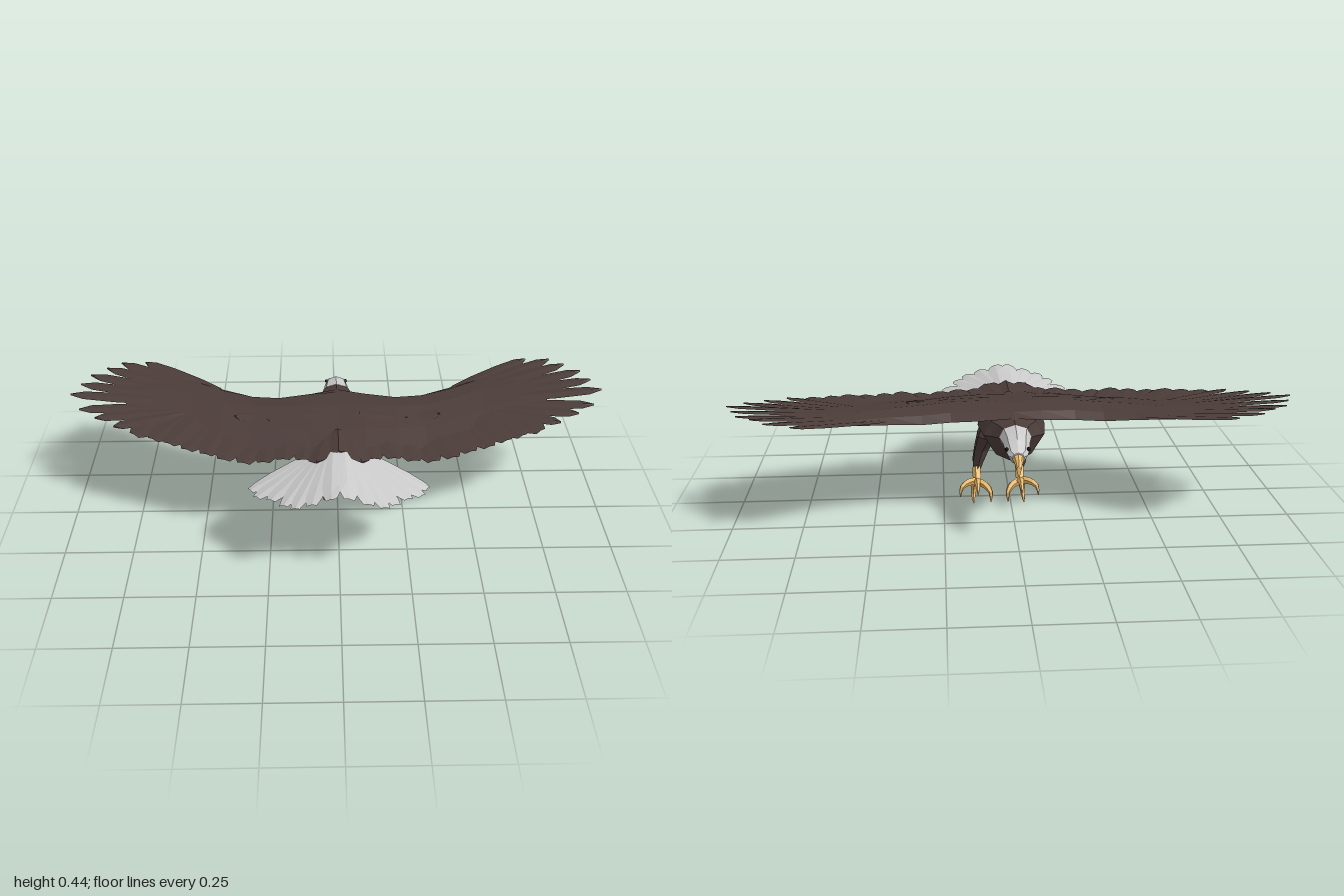
import * as THREE from 'three';

const V = (x, y, z) => new THREE.Vector3(x, y, z);
const paint = (color) =>
  new THREE.MeshStandardMaterial({ color, flatShading: true, side: THREE.DoubleSide });
const BROWN = paint(0x4b3c39), GREY = paint(0xcccccc), GOLD = paint(0xe6b566), BLACK = paint(0x111111);

function add(parent, name, geometry, material) {
  const mesh = new THREE.Mesh(geometry, material);
  mesh.name = name;
  parent.add(mesh);
  return mesh;
}

// Skin between closed rings of points, capped at both ends
function loft(rings) {
  const n = rings[0].length, pos = [], idx = [];
  rings.forEach((r) => r.forEach((p) => pos.push(p.x, p.y, p.z)));
  for (let i = 0; i < rings.length - 1; i++) {
    for (let j = 0; j < n; j++) {
      const k = (j + 1) % n, a = i * n + j, b = i * n + k;
      idx.push(a, b, b + n, a, b + n, a + n);
    }
  }
  const last = (rings.length - 1) * n;
  for (let j = 1; j < n - 1; j++) idx.push(0, j + 1, j, last, last + j, last + j + 1);
  return build(pos, idx);
}

function build(pos, idx) {
  const g = new THREE.BufferGeometry();
  g.setAttribute('position', new THREE.Float32BufferAttribute(pos, 3));
  g.setIndex(idx);
  g.computeVertexNormals();
  return g;
}

// Eight-sided rings along z from rows of [z, top, bottom, half width]
function hull(rows) {
  return loft(rows.map(([z, top, bottom, w]) => {
    const mid = bottom + (top - bottom) * 0.6;
    return Array.from({ length: 8 }, (_, j) => {
      const a = (j / 8) * Math.PI * 2, s = Math.sin(a);
      const narrow = s < 0 ? 1 + 0.25 * s : 1;
      return V(Math.cos(a) * w * narrow, mid + s * (s > 0 ? top - mid : mid - bottom), z);
    });
  }));
}

// Leaf-shaped blade with a raised quill, draped over a height function
function feather(base, tip, width, height, lift = 0, blunt = 0.05) {
  const [bx, bz] = base, dx = tip[0] - bx, dz = tip[1] - bz, len = Math.hypot(dx, dz);
  const px = -dz / len, pz = dx / len, pos = [], idx = [];
  [[0, 0.5], [0.3, 0.9], [0.65, 1], [0.9, 0.8], [1, blunt]].forEach(([t, k], i) => {
    for (let side = -1; side <= 1; side++) {
      const o = side * k * width / 2, x = bx + dx * t + px * o, z = bz + dz * t + pz * o;
      pos.push(x, height(x, z) + lift + (side === 0 ? 0.004 : 0), z);
      if (i < 4 && side < 1) {
        const a = i * 3 + side + 1;
        idx.push(a, a + 3, a + 4, a, a + 4, a + 1);
      }
    }
  });
  return build(pos, idx);
}

// Tube that tapers toward its end
function claw(points, radius, end = 0.1) {
  const curve = new THREE.CatmullRomCurve3(points), segs = 6, sides = 5;
  const g = new THREE.TubeGeometry(curve, segs, radius, sides, false);
  const p = g.attributes.position, v = V(0, 0, 0);
  for (let i = 0; i < p.count; i++) {
    const t = Math.floor(i / (sides + 1)) / segs;
    v.fromBufferAttribute(p, i).lerp(curve.getPointAt(t), (1 - end) * t * t);
    p.setXYZ(i, v.x, v.y, v.z);
  }
  return g;
}

// Wing sags to mid arm, then rises toward the tip and the leading edge
const wingHeight = (x, z) => {
  const a = Math.abs(x), base = a < 0.3 ? 0.385 - 0.07 * a : 0.364 + 0.064 * (a - 0.3);
  return base - (0.05 + 0.05 * Math.min(1, a)) * z;
};
const tailHeight = (x) => 0.392 - 0.28 * Math.abs(x);

function makeWing(s) {
  const wing = new THREE.Group();
  wing.name = s > 0 ? 'leftWing' : 'rightWing';
  // Arm: [x, leading z, trailing z, thickness]
  const arm = [[0, -0.25, 0.16, 0.03], [0.1, -0.235, 0.15, 0.055], [0.22, -0.215, 0.14, 0.06],
    [0.32, -0.232, 0.12, 0.055], [0.43, -0.265, 0.08, 0.042], [0.55, -0.315, 0, 0.028],
    [0.68, -0.32, -0.06, 0.018], [0.79, -0.26, -0.12, 0.006]];
  add(wing, 'wingArm', loft(arm.map(([x, lead, trail, t]) => {
    const at = (f, up) => {
      const z = lead + (trail - lead) * f;
      return V(s * x, wingHeight(x, z) + up * t, z);
    };
    const ring = [at(0.1, 0.25), at(0.35, 0.55), at(0.7, 0.35), at(1, 0), at(0.6, -0.2), at(0.2, -0.5), at(0, -0.2)];
    return s > 0 ? ring : ring.reverse();
  })), BROWN);

  // Long outer flight feathers fanned from the wrist
  const primaries = [[0.75, -0.41], [0.84, -0.392], [0.89, -0.347], [0.945, -0.3], [0.972, -0.235],
    [1, -0.165], [0.955, -0.08], [0.89, -0.03], [0.815, 0.02]];
  primaries.forEach(([x, z], i) => {
    const base = [s * (0.45 + 0.012 * i), -0.25 + 0.02 * i];
    add(wing, 'primaryFeather', feather(base, [s * x, z], 0.06, wingHeight, 0.002 * (i % 3), 0.15), BROWN);
  });
  // Shorter trailing feathers
  const secondaries = [[0.735, 0.06], [0.665, 0.085], [0.605, 0.11], [0.54, 0.135], [0.47, 0.16],
    [0.405, 0.19], [0.335, 0.2], [0.265, 0.2], [0.195, 0.195], [0.125, 0.2], [0.065, 0.18]];
  secondaries.forEach(([x, z], i) => {
    const base = [s * (x * 0.82 - 0.01), -0.12];
    add(wing, 'secondaryFeather', feather(base, [s * x, z], 0.1, wingHeight, 0.002 * (i % 3), 0.45), BROWN);
  });
  // Overlapping feathers behind the shoulder
  [[0.2, -0.03], [0.32, -0.05]].forEach(([x, z]) =>
    add(wing, 'covertFeather', feather([s * (x - 0.12), z - 0.02], [s * (x + 0.06), z], 0.07, wingHeight, 0.024), BROWN));
  return wing;
}

function makeTail() {
  const tail = new THREE.Group();
  tail.name = 'tail';
  // Central fan, then a lower side fan: [tip x, tip z, width, drop]
  const blades = [[0.03, 0.467, 0.07, 0], [0.095, 0.47, 0.07, 0.002], [0.15, 0.465, 0.065, 0.004], [0.19, 0.43, 0.065, 0.006],
    [0.235, 0.375, 0.08, 0.009], [0.285, 0.335, 0.08, 0.011], [0.31, 0.28, 0.075, 0.013]];
  for (const s of [1, -1]) {
    blades.forEach(([x, z, width, drop], i) => {
      const base = [s * (0.02 + 0.008 * i), 0.14];
      add(tail, 'tailFeather', feather(base, [s * x, z], width, tailHeight, -drop, 0.5), GREY);
    });
  }
  return tail;
}

function makeLeg(s) {
  const leg = new THREE.Group();
  leg.name = s > 0 ? 'leftLeg' : 'rightLeg';
  const x0 = s > 0 ? 0.125 : -0.035;
  // Feathered thigh: [y, x, z, half width, half depth]
  const thigh = [[0.3, s * 0.065, -0.025, 0.045, 0.065], [0.262, s > 0 ? 0.085 : -0.058, -0.025, 0.04, 0.075],
    [0.2, s > 0 ? 0.105 : -0.038, -0.002, 0.03, 0.055], [0.148, x0 - 0.005, -0.002, 0.022, 0.054],
    [0.12, x0, -0.015, 0.014, 0.044]];
  add(leg, 'thigh', loft(thigh.map(([y, x, z, w, d]) =>
    Array.from({ length: 6 }, (_, j) => {
      const a = (j / 6 + 0.25) * Math.PI * 2;
      return V(x + Math.cos(a) * w, y, z + Math.sin(a) * d);
    }))), BROWN);
  add(leg, 'shank', claw([V(x0, 0.135, -0.04), V(x0, 0.112, -0.056), V(x0, 0.088, -0.08)], 0.017, 0.9), GOLD);
  // Three front toes and a hooked rear talon
  const toes = {
    middleToe: [[0, 0.09, -0.07], [0, 0.1, -0.11], [0, 0.102, -0.148], [0, 0.076, -0.174]],
    outerToe: [[0, 0.09, -0.07], [0.035, 0.096, -0.095], [0.06, 0.082, -0.115], [0.064, 0.05, -0.125]],
    innerToe: [[0, 0.09, -0.07], [-0.03, 0.082, -0.09], [-0.048, 0.062, -0.112], [-0.048, 0.027, -0.125]],
    rearTalon: [[0, 0.095, -0.075], [0.008, 0.075, -0.05], [0.012, 0.045, -0.038], [0.014, 0.016, -0.048], [0.014, 0.003, -0.075]],
  };
  for (const [name, pts] of Object.entries(toes)) {
    add(leg, name, claw(pts.map(([x, y, z]) => V(x0 + s * x, y, z)), 0.015), GOLD);
  }
  return leg;
}

export function createModel() {
  const bird = new THREE.Group();
  bird.name = 'bird';

  add(bird, 'body', hull([[-0.305, 0.384, 0.277, 0.054], [-0.255, 0.39, 0.24, 0.082], [-0.225, 0.393, 0.222, 0.108],
    [-0.09, 0.397, 0.2, 0.122], [0.02, 0.396, 0.235, 0.115], [0.1, 0.393, 0.265, 0.1],
    [0.19, 0.388, 0.293, 0.07], [0.25, 0.382, 0.34, 0.03]]), BROWN);
  add(bird, 'head', hull([[-0.445, 0.336, 0.3, 0.02], [-0.43, 0.346, 0.288, 0.034], [-0.395, 0.367, 0.281, 0.042],
    [-0.36, 0.378, 0.284, 0.046], [-0.3, 0.386, 0.275, 0.056]]), GREY);
  add(bird, 'beak', hull([[-0.478, 0.272, 0.262, 0.003], [-0.475, 0.3, 0.266, 0.008], [-0.46, 0.321, 0.284, 0.014],
    [-0.437, 0.338, 0.287, 0.022], [-0.405, 0.334, 0.284, 0.03]]), GOLD);
  for (const s of [1, -1]) {
    const eye = add(bird, 'eye', new THREE.IcosahedronGeometry(0.007, 1), BLACK);
    eye.position.set(s * 0.037, 0.337, -0.411);
    bird.add(makeWing(s), makeLeg(s));
  }
  bird.add(makeTail());
  // Brown rump feathers over the tail root
  [[0, 0.2], [0.08, 0.235], [-0.08, 0.235]].forEach(([x, z]) =>
    add(bird, 'rumpFeather', feather([x * 0.5, 0.05], [x, z], 0.08, tailHeight, 0.005), BROWN));
  return bird;
}
